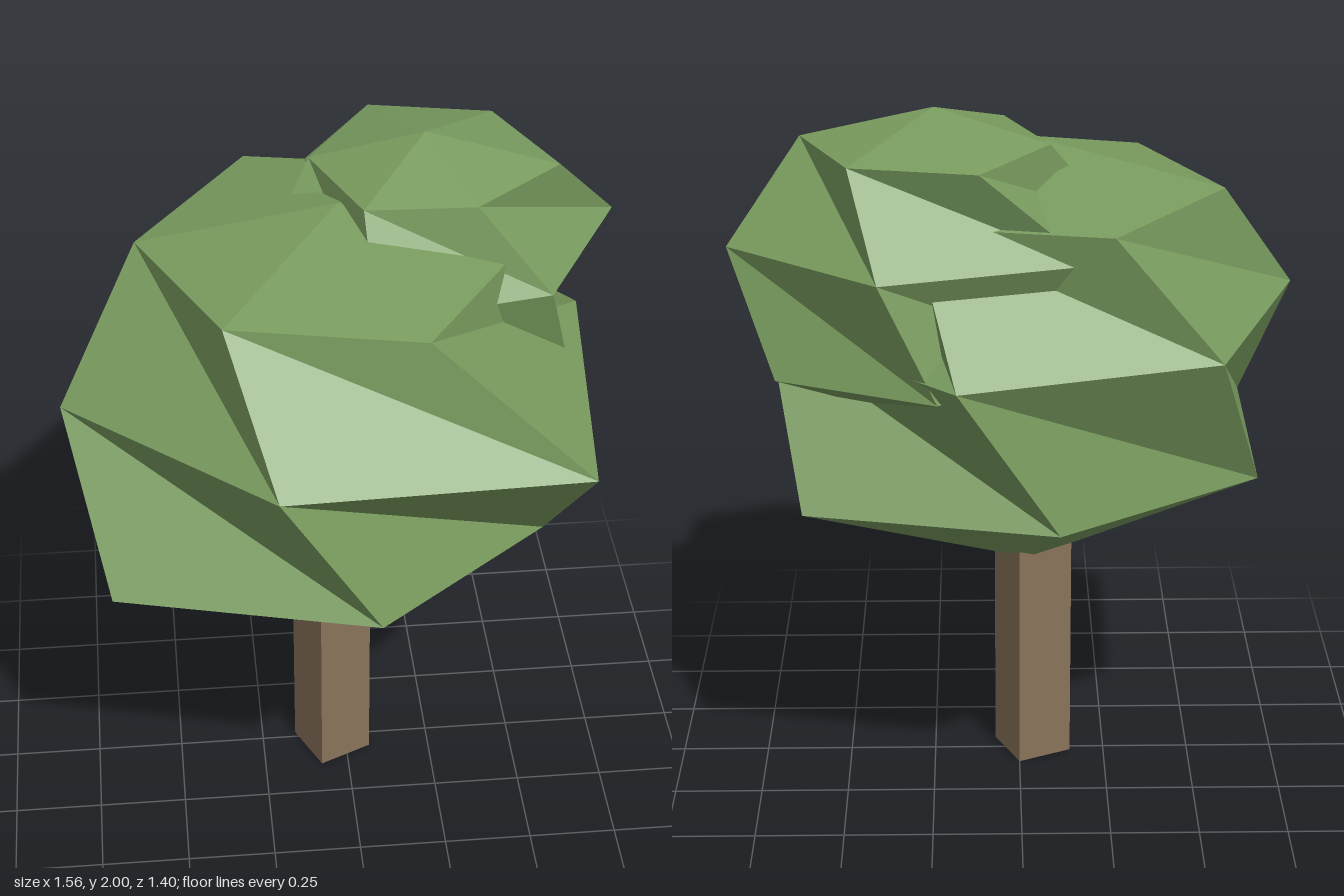
import * as THREE from 'three';

// Faceted blob from stacked six-sided rings; ring points are [x, z], each ring twisted against the next
function blob(name, bottom, rings, top, material) {
  const pos = [];
  const tri = (...pts) => pts.forEach((p) => pos.push(...p));
  const levels = rings.map(({ y, pts }) => pts.map(([x, z]) => [x, y, z]));
  const n = levels[0].length;
  const last = levels[levels.length - 1];
  for (let i = 0; i < n; i++) {
    const j = (i + 1) % n;
    tri(levels[0][j], levels[0][i], bottom);
    for (let k = 0; k + 1 < levels.length; k++) {
      const lo = levels[k], hi = levels[k + 1];
      tri(lo[i], lo[j], hi[i]);
      tri(hi[i], lo[j], hi[j]);
    }
    tri(last[i], last[j], top);
  }
  const geo = new THREE.BufferGeometry();
  geo.setAttribute('position', new THREE.Float32BufferAttribute(pos, 3));
  geo.computeVertexNormals();
  const mesh = new THREE.Mesh(geo, material);
  mesh.name = name;
  return mesh;
}

export function createModel() {
  const leaf = new THREE.MeshStandardMaterial({ color: 0x789b5e, flatShading: true });
  leaf.name = 'leafGreen';
  const bark = new THREE.MeshStandardMaterial({ color: 0x88735a, flatShading: true });
  bark.name = 'barkBrown';

  const tree = new THREE.Group();
  tree.name = 'tree';

  // Square trunk, slightly turned
  const side = 0.166;
  const trunk = new THREE.Mesh(new THREE.BoxGeometry(side, 0.8, side), bark);
  trunk.name = 'trunk';
  trunk.position.set(-0.04, 0.4, 0.02);
  trunk.rotation.y = THREE.MathUtils.degToRad(25);
  tree.add(trunk);

  // Main crown
  tree.add(blob('mainCrown', [-0.03, 0.61, 0.03], [
    { y: 0.96, pts: [[-0.67, 0.49], [0.04, 0.67], [0.53, 0.27], [0.59, -0.45], [-0.1, -0.6], [-0.66, -0.21]] },
    { y: 1.40, pts: [[-0.78, 0.2], [-0.23, 0.7], [0.59, 0.67], [0.68, -0.2], [0.17, -0.7], [-0.53, -0.49]] },
    { y: 1.75, pts: [[-0.56, -0.05], [-0.35, 0.41], [0.17, 0.52], [0.41, 0.16], [0.28, -0.4], [-0.24, -0.5]] },
  ], [-0.02, 1.88, 0.02], leaf));

  // Smaller crown growing out of the upper back left
  tree.add(blob('upperCrown', [0.23, 1.1, -0.13], [
    { y: 1.34, pts: [[0.27, 0.28], [0.62, 0.07], [0.65, -0.43], [0.22, -0.62], [-0.2, -0.28], [-0.1, 0.12]] },
    { y: 1.66, pts: [[0.06, 0.27], [0.54, 0.18], [0.78, -0.27], [0.37, -0.61], [-0.18, -0.45], [-0.25, 0.03]] },
    { y: 1.91, pts: [[0.04, 0.12], [0.34, 0.13], [0.59, -0.08], [0.45, -0.4], [0.11, -0.47], [-0.08, -0.18]] },
  ], [0.23, 2.0, -0.13], leaf));

  return tree;
}
